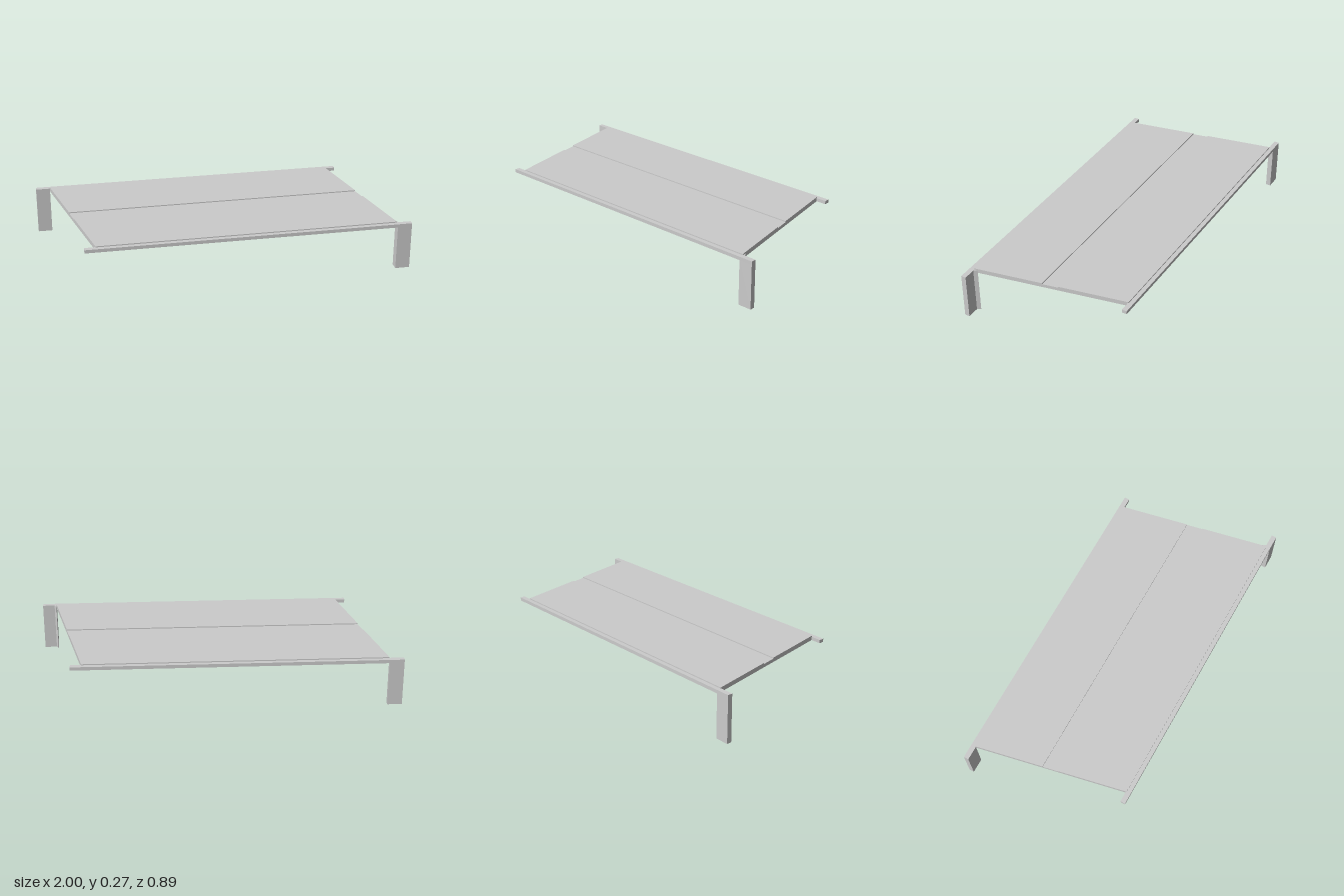
import * as THREE from 'three';

const BOTTOM = 0.249, RAIL_TOP = 0.268, DECK_TOP = 0.274;
const EDGE = 0.446, INNER = 0.418;

export function createModel() {
  const group = new THREE.Group();
  const material = new THREE.MeshStandardMaterial({ color: 0xcccccc, flatShading: true });

  const add = (name, geometry) => {
    const mesh = new THREE.Mesh(geometry, material);
    mesh.name = name;
    group.add(mesh);
  };
  const shapeOf = (points) => new THREE.Shape(points.map(([x, y]) => new THREE.Vector2(x, y)));

  // Vertical prism from a plan outline of [x, z] points
  const prism = (points, y0, y1) => {
    const geometry = new THREE.ExtrudeGeometry(shapeOf(points.map(([x, z]) => [x, -z])), {
      depth: y1 - y0, bevelEnabled: false,
    });
    return geometry.rotateX(-Math.PI / 2).translate(0, y0, 0);
  };

  // Skewed deck: two raised panels with a shallow channel between them
  const half = 0.83, skew = 0.214;
  const deck = new THREE.ExtrudeGeometry(shapeOf([
    [-0.422, BOTTOM], [0.422, BOTTOM], [0.422, DECK_TOP], [0.044, DECK_TOP],
    [0.044, RAIL_TOP], [-0.044, RAIL_TOP], [-0.044, DECK_TOP], [-0.422, DECK_TOP],
  ]), { depth: half * 2, bevelEnabled: false });
  deck.rotateY(Math.PI / 2).translate(-half, 0, 0);
  const p = deck.attributes.position;
  for (let i = 0; i < p.count; i++) p.setX(i, p.getX(i) + skew * p.getZ(i));
  deck.computeVertexNormals();
  add('deck', deck);

  // Edge rails, each running past the deck at both ends
  for (const s of [1, -1]) {
    const rail = new THREE.BoxGeometry(1.8, RAIL_TOP - BOTTOM, EDGE - INNER);
    rail.translate(s * 0.1, (RAIL_TOP + BOTTOM) / 2, s * (EDGE + INNER) / 2);
    add(s > 0 ? 'frontRail' : 'backRail', rail);
  }

  // Front leg with a small return under the deck corner; plain back leg
  add('frontLeg', prism([
    [0.92, EDGE], [1, EDGE], [1, INNER], [0.932, INNER], [0.92, 0.398],
  ], 0, RAIL_TOP));
  add('backLeg', prism([
    [-1, -INNER], [-0.92, -INNER], [-0.92, -EDGE], [-1, -EDGE],
  ], 0, RAIL_TOP));

  return group;
}
